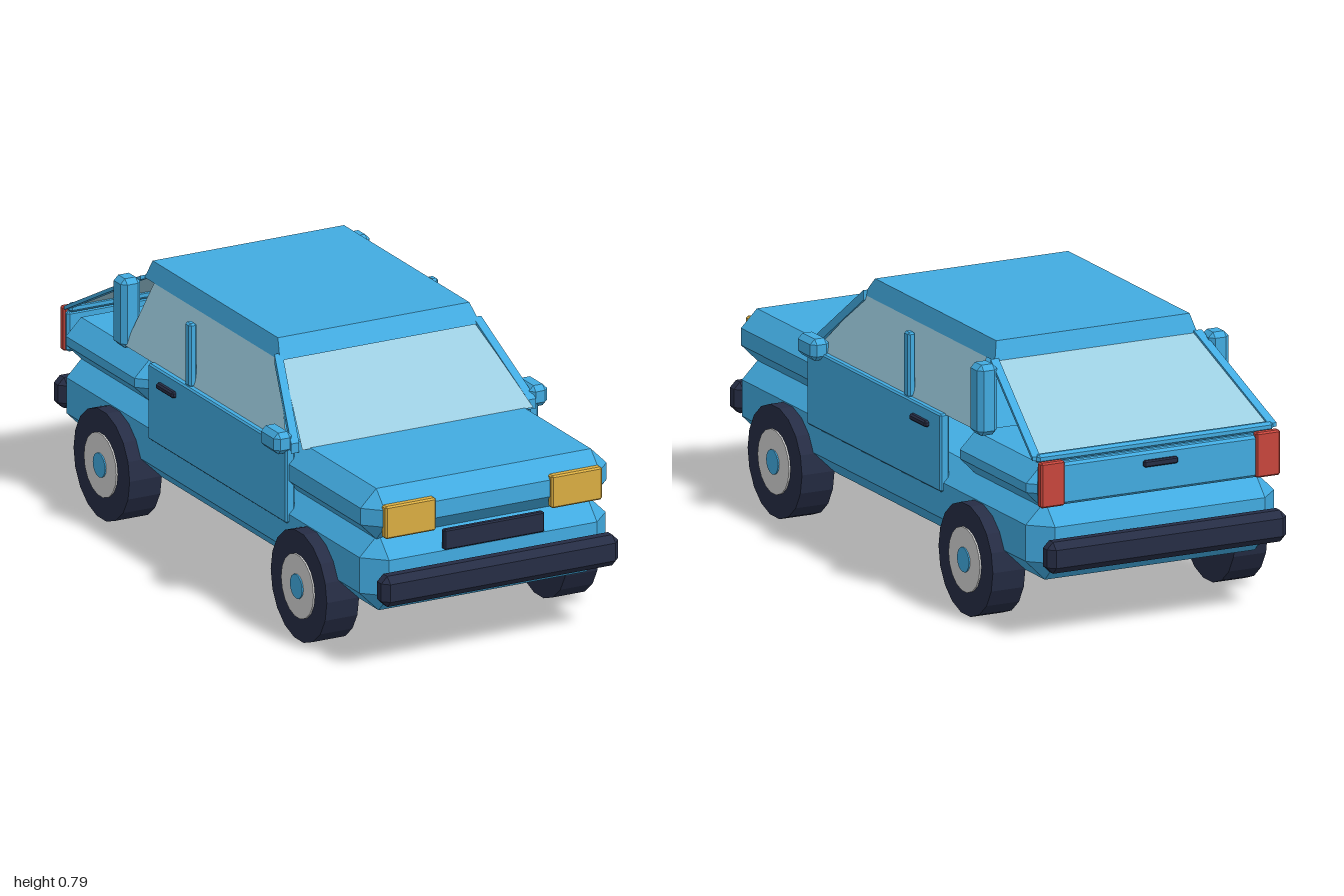
import * as THREE from 'three';
import { ConvexGeometry } from 'three/addons/geometries/ConvexGeometry.js';

export function createModel() {
  const car = new THREE.Group();
  car.name = 'car';

  const mat = (name, color, side = THREE.FrontSide) => {
    const m = new THREE.MeshStandardMaterial({ color, side, flatShading: true });
    m.name = name;
    return m;
  };
  const blue = mat('blue paint', 0x42abe1);
  const glass = mat('window glass', 0x9ccde0, THREE.DoubleSide);
  const dark = mat('dark rubber', 0x262d45);
  const amber = mat('amber lamp', 0xdbae42);
  const red = mat('red lamp', 0xc8463c);
  const silver = mat('silver hub', 0xd4d4d4);

  const add = (name, geometry, material) => {
    const mesh = new THREE.Mesh(geometry, material);
    mesh.name = name;
    car.add(mesh);
    return mesh;
  };

  // Convex solid from a list of corners
  const hull = (name, pts, material) =>
    add(name, new ConvexGeometry(pts.map(p => new THREE.Vector3(...p))), material);

  // Box between two corners with all edges chamfered by c
  const block = (name, [x0, y0, z0], [x1, y1, z1], c, material) => {
    const mid = [(x0 + x1) / 2, (y0 + y1) / 2, (z0 + z1) / 2];
    const half = [Math.abs(x1 - x0) / 2, (y1 - y0) / 2, (z1 - z0) / 2];
    const pts = [];
    for (const sx of [-1, 1]) for (const sy of [-1, 1]) for (const sz of [-1, 1])
      for (let axis = 0; axis < 3; axis++)
        pts.push([sx, sy, sz].map((s, i) => mid[i] + s * (half[i] - (i === axis ? 0 : c))));
    return hull(name, pts, material);
  };

  // Flat four-cornered panel
  const panel = (name, [a, b, c, d], material) => {
    const g = new THREE.BufferGeometry();
    g.setAttribute('position', new THREE.Float32BufferAttribute([a, b, c, a, c, d].flat(), 3));
    g.computeVertexNormals();
    return add(name, g, material);
  };

  // Bar of width w (x) and height h (y) between two points
  const bar = (name, ends, w, h, material) => {
    const pts = [];
    for (const [x, y, z] of ends)
      for (const dx of [-w / 2, w / 2]) for (const dy of [-h / 2, h / 2]) pts.push([x + dx, y + dy, z]);
    return hull(name, pts, material);
  };

  // Main body volumes
  block('lowerBody', [-0.405, 0.165, -0.94], [0.405, 0.4, 0.94], 0.063, blue);
  block('hood', [-0.405, 0.387, 0.36], [0.405, 0.542, 0.935], 0.052, blue);
  block('trunk', [-0.405, 0.385, -0.93], [0.405, 0.512, -0.42], 0.05, blue);

  // Roof tapering to the top
  const roof = [];
  for (const s of [-1, 1])
    roof.push([s * 0.33, 0.735, 0.265], [s * 0.33, 0.735, -0.545],
      [s * 0.315, 0.79, 0.225], [s * 0.315, 0.79, -0.525]);
  hull('roof', roof, blue);

  // Front and rear windows
  panel('windshield', [[-0.38, 0.54, 0.49], [0.38, 0.54, 0.49], [0.318, 0.736, 0.255], [-0.318, 0.736, 0.255]], glass);
  panel('rearWindow', [[0.372, 0.54, -0.905], [-0.372, 0.54, -0.905], [-0.322, 0.738, -0.54], [0.322, 0.738, -0.54]], glass);

  // Tailgate with rails under the rear window
  block('tailgate', [-0.385, 0.4, -0.938], [0.385, 0.525, -0.905], 0.008, blue);
  block('tailgateRail', [-0.385, 0.525, -0.915], [0.385, 0.552, -0.89], 0.008, blue);
  block('tailgateHandle', [-0.055, 0.48, -0.95], [0.055, 0.5, -0.935], 0.004, dark);

  // Bumpers and number plate
  for (const [name, z0, z1] of [['frontBumper', 0.935, 1], ['rearBumper', -1, -0.935]])
    block(name, [-0.39, 0.212, z0], [0.39, 0.306, z1], 0.02, dark);
  block('plate', [-0.165, 0.34, 0.93], [0.165, 0.402, 0.95], 0.004, dark);

  // Parts mirrored on both sides
  for (const s of [-1, 1]) {
    const side = s > 0 ? 'left' : 'right';
    panel(side + 'SideWindow', [[s * 0.398, 0.54, 0.43], [s * 0.398, 0.54, -0.54],
      [s * 0.328, 0.737, -0.49], [s * 0.328, 0.737, 0.25]], glass);
    bar(side + 'FrontPillar', [[s * 0.39, 0.54, 0.465], [s * 0.327, 0.737, 0.25]], 0.026, 0.03, blue);
    bar(side + 'RearPillar', [[s * 0.385, 0.54, -0.905], [s * 0.331, 0.737, -0.545]], 0.026, 0.012, blue);
    block(side + 'CenterPillar', [s * 0.385, 0.54, -0.162], [s * 0.41, 0.735, -0.13], 0.006, blue);
    block(side + 'QuarterPillar', [s * 0.345, 0.53, -0.6], [s * 0.41, 0.742, -0.53], 0.015, blue);
    block(side + 'Door', [s * 0.385, 0.31, -0.37], [s * 0.416, 0.543, 0.456], 0.005, blue);
    block(side + 'DoorHandle', [s * 0.41, 0.488, -0.3], [s * 0.43, 0.507, -0.2], 0.005, dark);
    block(side + 'Mirror', [s * 0.39, 0.523, 0.355], [s * 0.45, 0.588, 0.46], 0.015, blue);
    block(side + 'Headlight', [s * 0.19, 0.405, 0.92], [s * 0.357, 0.505, 0.947], 0.005, amber);
    block(side + 'Taillight', [s * 0.312, 0.4, -0.946], [s * 0.39, 0.535, -0.92], 0.005, red);

    // Wheels: tyre, hub disc and cap
    for (const [end, z] of [['Front', 0.592], ['Rear', -0.588]])
      for (const [part, r, x0, x1, m, n] of [
        ['Tire', 0.168, 0.342, 0.448, dark, 18],
        ['Hub', 0.097, 0.4, 0.453, silver, 18],
        ['Cap', 0.037, 0.42, 0.457, blue, 16]]) {
        const g = new THREE.CylinderGeometry(r, r, x1 - x0, n).rotateZ(Math.PI / 2);
        add(side + end + part, g, m).position.set(s * (x0 + x1) / 2, 0.168, z);
      }
  }
  return car;
}
